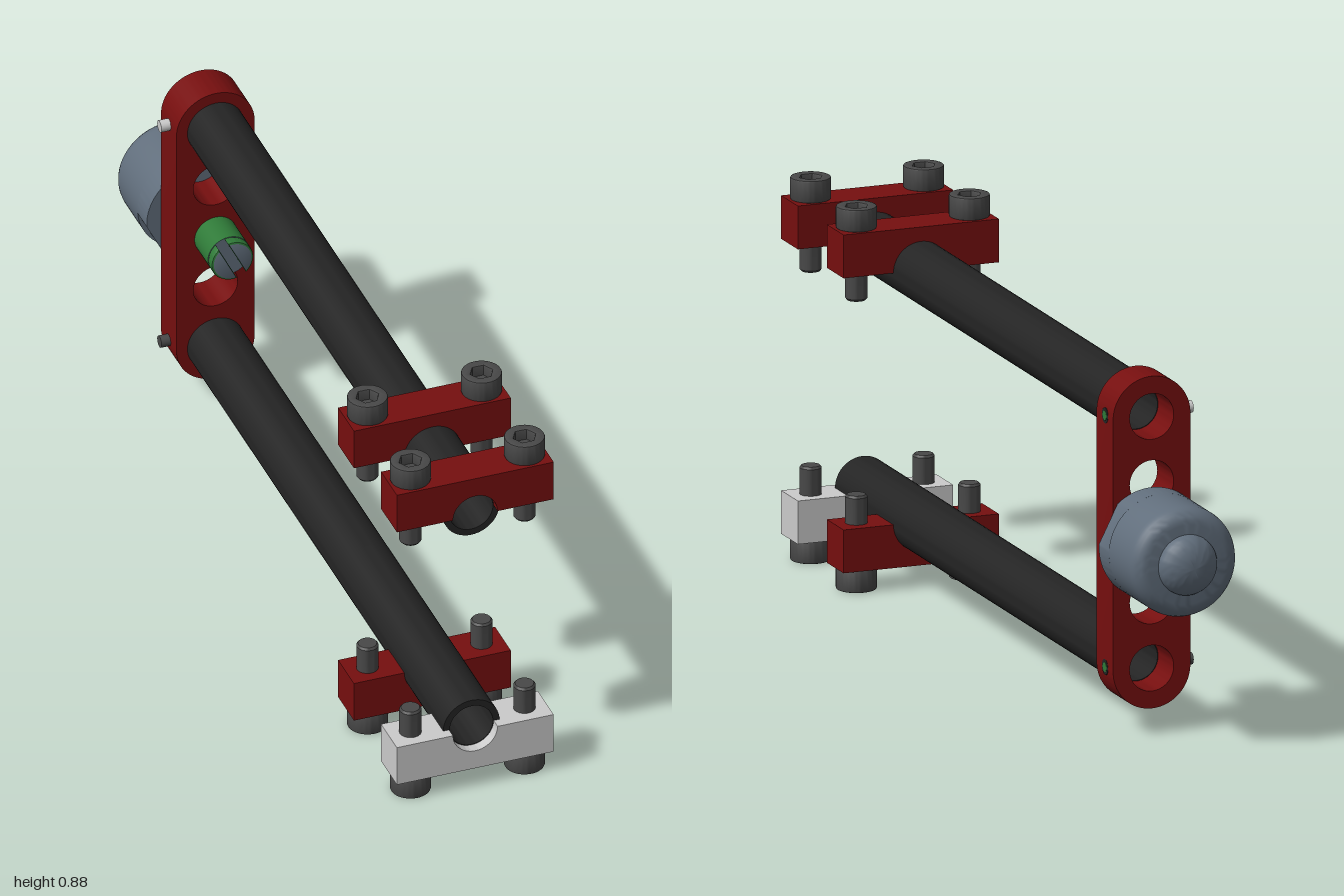
import * as THREE from 'three';
import { toCreasedNormals } from 'three/addons/utils/BufferGeometryUtils.js';

const mat = (color) => new THREE.MeshStandardMaterial({ color });
const RED = mat(0x760f0f), BLACK = mat(0x242424), STEEL = mat(0x484848);
const BLUE = mat(0x616e7c), GREEN = mat(0x2f7a38), GREY = mat(0xcccccc);
const TOP = 0.734, BOTTOM = 0.153, MID = (TOP + BOTTOM) / 2;
const BORE = 0.053, TILT = 0.47;

function add(parent, name, geometry, material, x = 0, y = 0, z = 0) {
  const mesh = new THREE.Mesh(geometry, material);
  mesh.name = name;
  mesh.position.set(x, y, z);
  parent.add(mesh);
  return mesh;
}

// Turned part from [radius, height] pairs
function turned(points, sides = 48) {
  const profile = points.map(([r, h]) => new THREE.Vector2(r, h));
  return toCreasedNormals(new THREE.LatheGeometry(profile, sides), 0.6);
}

function extruded(shape, depth, bevel = 0) {
  const geometry = new THREE.ExtrudeGeometry(shape, {
    depth: depth - 2 * bevel, curveSegments: 24, bevelEnabled: bevel > 0,
    bevelSize: bevel, bevelThickness: bevel, bevelOffset: -bevel, bevelSegments: 2,
  });
  geometry.translate(0, 0, bevel);
  return toCreasedNormals(geometry, 0.6);
}

const circle = (r, y = 0) => new THREE.Path().absarc(0, y, r, 0, Math.PI * 2, true);

// Disc segment lying beyond x = d, used for the slotted tip
function segment(r, d) {
  const a = Math.acos(d / r);
  return new THREE.Shape().absarc(0, 0, r, -a, a, false);
}

// Socket head screw, the head sitting on y = 0 and the shank below
function makeScrew() {
  const screw = new THREE.Group();
  screw.name = 'clampScrew';
  const head = new THREE.Shape().absarc(0, 0, 0.046, 0, Math.PI * 2, false);
  const hex = Array.from({ length: 6 }, (_, i) =>
    new THREE.Vector2(0.026 * Math.cos(-i * Math.PI / 3), 0.026 * Math.sin(-i * Math.PI / 3)));
  head.holes.push(new THREE.Path(hex));
  add(screw, 'screwHead', extruded(head, 0.052, 0.004).rotateX(-Math.PI / 2), STEEL);
  add(screw, 'socketFloor', new THREE.CylinderGeometry(0.034, 0.034, 0.02, 24), STEEL, 0, 0.015, 0);
  add(screw, 'screwShank',
    turned([[0, -0.166], [0.021, -0.166], [0.025, -0.161], [0.025, 0], [0, 0]], 24), STEEL);
  return screw;
}

// Half clamp with a round notch in its split face at y = 0
function makeClamp(material) {
  const clamp = new THREE.Group();
  clamp.name = 'rodClamp';
  const shape = new THREE.Shape();
  shape.moveTo(0.187, 0);
  shape.lineTo(0.187, 0.1);
  shape.lineTo(-0.187, 0.1);
  shape.lineTo(-0.187, 0);
  shape.lineTo(-BORE, 0);
  shape.absarc(0, 0, BORE, Math.PI, 0, true);
  add(clamp, 'clampBar', extruded(shape, 0.1), material, 0, 0, -0.05);
  for (const side of [-1, 1]) {
    const screw = makeScrew();
    screw.position.set(side * 0.136, 0.1, 0);
    clamp.add(screw);
  }
  return clamp;
}

export function createModel() {
  const model = new THREE.Group();
  model.name = 'railBracket';

  // Hollow rods running from the clamps to the end plate
  const rod = turned([[0.0515, 0], [0.067, 0], [0.067, 1.625], [0.0515, 1.625], [0.0515, 0]])
    .rotateX(-Math.PI / 2);
  add(model, 'upperRod', rod, BLACK, 0, TOP, 0.975);
  add(model, 'lowerRod', rod, BLACK, 0, BOTTOM, 0.975);

  // Clamps, the lower ones turned upside down
  for (const z of [0.95, 0.678]) {
    const upper = makeClamp(RED);
    upper.position.set(0, TOP, z);
    const lower = makeClamp(z > 0.9 ? GREY : RED);
    lower.position.set(0, BOTTOM, z);
    lower.rotation.z = Math.PI;
    model.add(upper, lower);
  }

  // End plate with rounded ends and a row of holes
  const plate = new THREE.Shape();
  plate.absarc(0, TOP, 0.093, 0, Math.PI, false);
  plate.absarc(0, BOTTOM, 0.093, Math.PI, Math.PI * 2, false);
  for (const y of [TOP, 0.58, 0.308, BOTTOM]) plate.holes.push(circle(BORE, y));
  add(model, 'endPlate', extruded(plate, 0.098), RED, 0, 0, -0.743);

  // Set screws in the plate's edges
  const pin = new THREE.CylinderGeometry(0.014, 0.014, 0.055, 20).rotateZ(Math.PI / 2);
  const ring = new THREE.CylinderGeometry(0.018, 0.018, 0.01, 20).rotateZ(Math.PI / 2);
  const dot = new THREE.CylinderGeometry(0.011, 0.011, 0.01, 20).rotateZ(Math.PI / 2);
  for (const y of [TOP, BOTTOM]) {
    add(model, 'setScrew', pin, y === TOP ? GREY : STEEL, -0.0875, y, -0.695);
    add(model, 'setScrewHole', ring, BLACK, 0.0885, y, -0.695);
    add(model, 'setScrewTip', dot, GREEN, 0.0892, y, -0.695);
  }

  // Knob behind the plate: flatted collar, rounded body and domed button
  const knob = new THREE.Group();
  knob.name = 'knob';
  knob.position.y = MID;
  knob.rotation.z = TILT;
  model.add(knob);
  const a = Math.acos(0.117 / 0.127);
  const collar = new THREE.Shape();
  collar.absarc(0, 0, 0.127, a, Math.PI - a, false);
  collar.absarc(0, 0, 0.127, Math.PI + a, Math.PI * 2 - a, false);
  add(knob, 'knobCollar', extruded(collar, 0.06), BLUE, 0, 0, -0.803);
  const body = [[0, 0], [0.127, 0], [0.127, 0.115]];
  for (let i = 1; i <= 6; i++) {
    const t = i / 6 * Math.PI / 2;
    body.push([0.092 + 0.035 * Math.cos(t), 0.115 + 0.038 * Math.sin(t)]);
  }
  body.push([0, 0.153]);
  add(knob, 'knobBody', turned(body, 64).rotateX(-Math.PI / 2), BLUE, 0, 0, -0.802);
  const dome = [];
  for (let i = 0; i <= 8; i++) {
    const t = i / 8 * Math.PI / 2;
    dome.push([0.07 * Math.cos(t), 0.046 * Math.sin(t)]);
  }
  add(knob, 'knobButton', turned(dome).rotateX(-Math.PI / 2), BLUE, 0, 0, -0.954);

  // Stud in front of the plate with a slotted tip
  add(knob, 'stud', new THREE.CylinderGeometry(0.05, 0.05, 0.183, 40).rotateX(Math.PI / 2),
    [GREEN, BLUE, BLUE], 0, 0, -0.6515);
  const half = extruded(segment(0.05, 0.012), 0.025, 0.005);
  for (const turn of [0, Math.PI]) {
    add(knob, 'slottedTip', half, [BLUE, GREEN], 0, 0, -0.561).rotation.z = turn;
  }
  return model;
}
